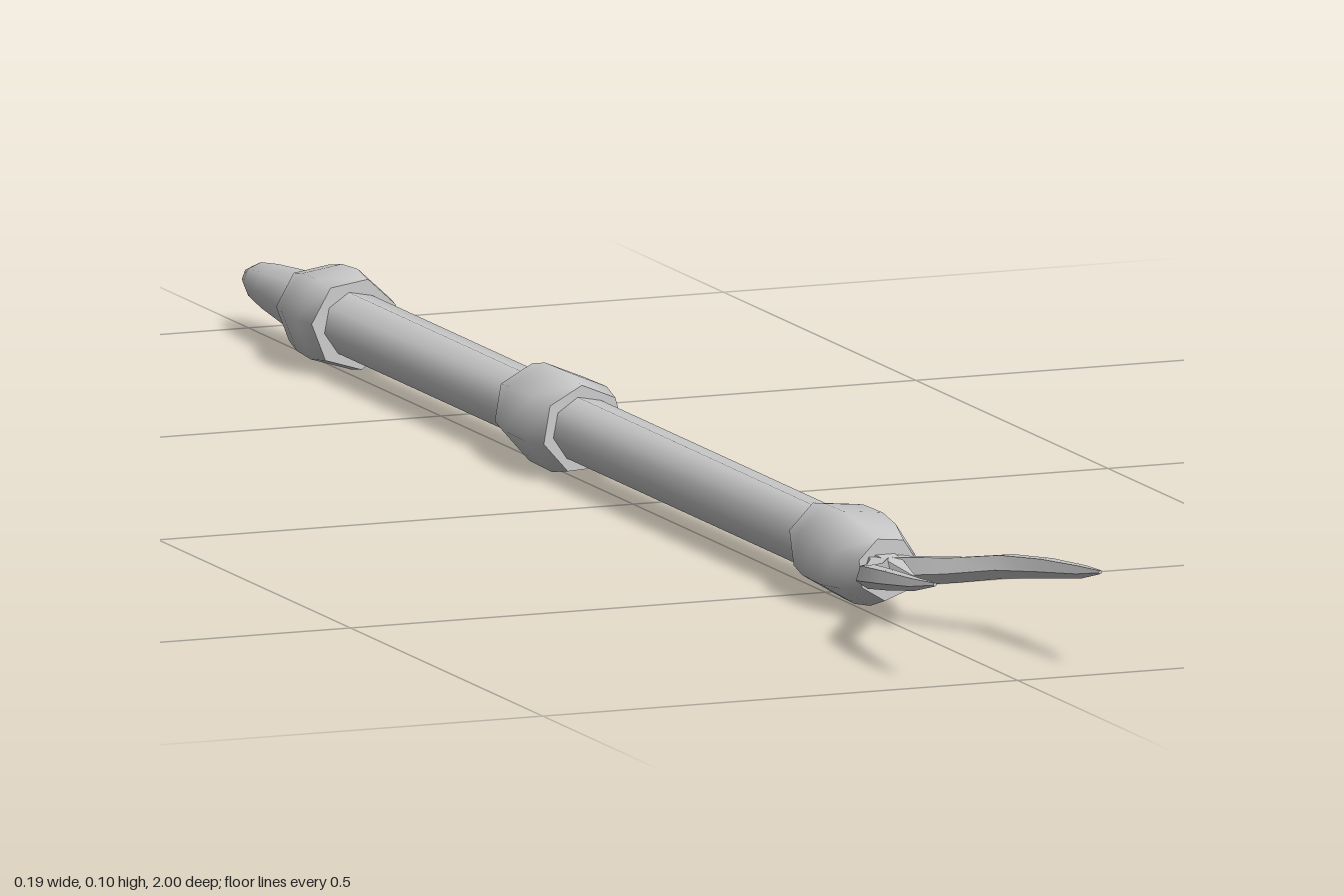
import * as THREE from 'three';
import { toCreasedNormals } from 'three/addons/utils/BufferGeometryUtils.js';

const material = new THREE.MeshStandardMaterial({ color: 0xcccccc });
const AXIS_X = 0.003, AXIS_Y = 0.055;

// Turned part along z; profile is a list of [z, radius], from back to front
function turned(name, profile, sides, twist = 0) {
  const points = profile.map(([z, r]) => new THREE.Vector2(r, z));
  const geometry = new THREE.LatheGeometry(points, sides, twist).rotateX(Math.PI / 2);
  const mesh = new THREE.Mesh(toCreasedNormals(geometry, 1.08), material);
  mesh.name = name;
  mesh.position.set(AXIS_X, AXIS_Y, 0);
  return mesh;
}

// Tapering prong through stations [x, y, z, radius]
function prong(name, stations, sides, side = 1) {
  const rows = stations.length - 1;
  const geometry = new THREE.CylinderGeometry(1, 1, 1, sides, rows).rotateX(Math.PI / 2);
  const p = geometry.attributes.position;
  for (let i = 0; i < p.count; i++) {
    const [x, y, z, r] = stations[Math.round((p.getZ(i) + 0.5) * rows)];
    p.setXYZ(i, side * x + p.getX(i) * r, y + p.getY(i) * r, z);
  }
  const mesh = new THREE.Mesh(toCreasedNormals(geometry, 1.0), material);
  mesh.name = name;
  return mesh;
}

export function createModel() {
  const group = new THREE.Group();
  group.name = 'prongedStaff';

  // Long shaft
  group.add(turned('shaft', [[-0.78, 0], [-0.78, 0.033], [0.6, 0.033], [0.6, 0]], 8, 0.2));

  // Rounded butt
  group.add(turned('buttCap', [
    [-1, 0], [-0.995, 0.012], [-0.975, 0.019], [-0.93, 0.025], [-0.85, 0.032], [-0.78, 0.034], [-0.78, 0],
  ], 8));

  // Bulging collars
  group.add(turned('rearCollar', [
    [-0.83, 0.028], [-0.83, 0.043], [-0.80, 0.049], [-0.76, 0.051], [-0.73, 0.046], [-0.73, 0.028],
  ], 7, 0.15));
  group.add(turned('middleCollar', [
    [-0.265, 0.028], [-0.265, 0.043], [-0.23, 0.05], [-0.17, 0.051], [-0.135, 0.044], [-0.135, 0.028],
  ], 7, 0.5));
  group.add(turned('headCollar', [
    [0.495, 0.028], [0.495, 0.041], [0.53, 0.047], [0.58, 0.048], [0.62, 0.043], [0.655, 0.032], [0.655, 0],
  ], 7, 0.8));

  // Two outward-curving prongs
  const stations = [
    [0, 0.052, 0.63, 0.017], [0.012, 0.056, 0.67, 0.016], [0.043, 0.066, 0.735, 0.014],
    [0.073, 0.077, 0.79, 0.013], [0.083, 0.088, 0.87, 0.011],
    [0.088, 0.098, 0.95, 0.007], [0.087, 0.106, 1, 0.002],
  ];
  group.add(prong('leftProng', stations, 5, 1));
  group.add(prong('rightProng', stations, 5, -1));

  // Short spur between the prongs
  group.add(prong('centreSpur', [
    [0, 0.054, 0.64, 0.02], [0, 0.057, 0.68, 0.014], [0, 0.06, 0.73, 0.002],
  ], 5));

  return group;
}
